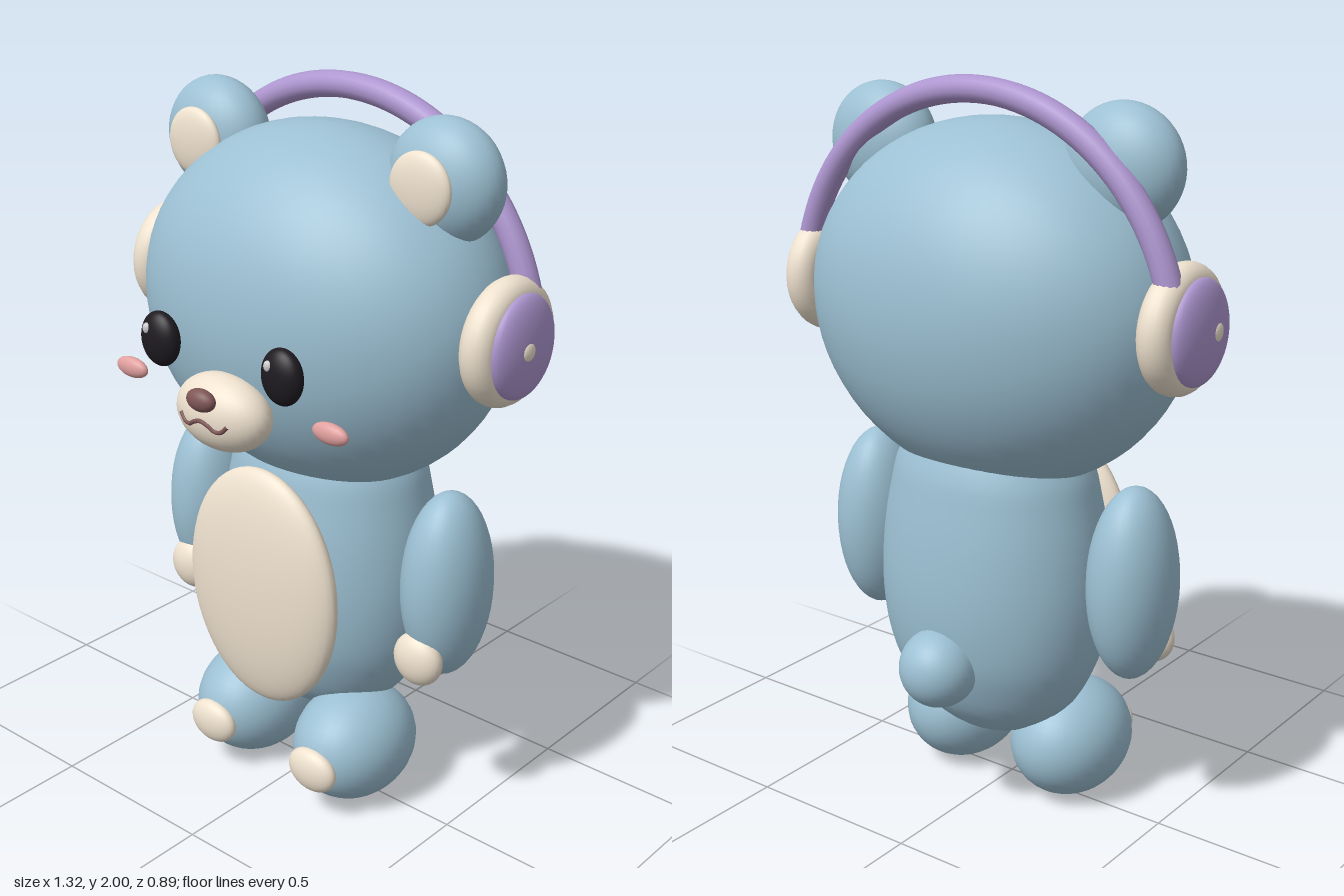
import * as THREE from 'three';

const mat = (color) => new THREE.MeshStandardMaterial({ color });

export function createModel() {
  const bear = new THREE.Group();
  bear.name = 'bear';

  const fur = mat(0x9cc0d3);
  const cream = mat(0xeee1ce);
  const purple = mat(0xae96d0);
  const black = mat(0x1e1a20);
  const pink = mat(0xe0a09e);
  const brown = mat(0x7f5656);
  const white = mat(0xffffff);

  const add = (name, geometry, material) => {
    const mesh = new THREE.Mesh(geometry, material);
    mesh.name = name;
    bear.add(mesh);
    return mesh;
  };

  // Ellipsoid from centre and radii
  const ball = (name, material, [x, y, z], [rx, ry, rz], detail = 32) => {
    const mesh = add(name, new THREE.SphereGeometry(1, detail, Math.round(detail * 0.75)), material);
    mesh.position.set(x, y, z);
    mesh.scale.set(rx, ry, rz);
    return mesh;
  };

  // Mirrored pair of ellipsoids, given for the +x side
  const pair = (name, material, [x, y, z], radii, detail) => {
    ball(name + 'Left', material, [x, y, z], radii, detail);
    ball(name + 'Right', material, [-x, y, z], radii, detail);
  };

  // Lathe flattened front to back
  const flatLathe = (name, points, depth, z) => {
    const mesh = add(name, new THREE.LatheGeometry(points, 48), fur);
    mesh.scale.z = depth;
    mesh.position.z = z;
  };

  // Head: ellipsoid with a slightly deeper lower half
  const headOutline = [];
  for (let i = 0; i <= 36; i++) {
    const a = (i / 36 - 0.5) * Math.PI;
    headOutline.push(new THREE.Vector2(0.557 * Math.cos(a), 1.42 + (a < 0 ? 0.5 : 0.47) * Math.sin(a)));
  }
  flatLathe('head', headOutline, 0.693, -0.055);

  // Body: rounded, full at the bottom
  const profile = new THREE.SplineCurve([
    [0, 0.185], [0.12, 0.215], [0.23, 0.295], [0.293, 0.4], [0.325, 0.5], [0.338, 0.63],
    [0.33, 0.77], [0.307, 0.9], [0.278, 1.0], [0.2, 1.1], [0, 1.15],
  ].map(([x, y]) => new THREE.Vector2(x, y)));
  const bodyOutline = profile.getPoints(36).map((p) => new THREE.Vector2(Math.max(p.x, 0), p.y));
  flatLathe('body', bodyOutline, 0.79, -0.076);

  ball('belly', cream, [0, 0.658, 0.202], [0.261, 0.348, 0.074], 40);
  ball('tail', fur, [0, 0.457, -0.328], [0.108, 0.108, 0.108]);

  // Ears
  pair('ear', fur, [0.383, 1.797, -0.058], [0.164, 0.159, 0.104]);
  pair('innerEar', cream, [0.378, 1.795, 0.04], [0.092, 0.092, 0.028]);

  // Arms and hands
  pair('arm', fur, [0.432, 0.715, -0.053], [0.116, 0.267, 0.14]);
  pair('hand', cream, [0.422, 0.527, 0.052], [0.075, 0.075, 0.045]);

  // Feet and soles
  pair('foot', fur, [0.188, 0.167, 0.029], [0.16, 0.165, 0.195]);
  pair('footPad', cream, [0.19, 0.155, 0.215], [0.081, 0.064, 0.036]);

  // Face
  pair('eye', black, [0.211, 1.362, 0.349], [0.063, 0.074, 0.036]);
  for (const [side, x] of [['Left', 0.189], ['Right', -0.233]]) {
    ball('eyeHighlight' + side, white, [x, 1.392, 0.376], [0.013, 0.015, 0.01], 16);
  }
  pair('cheek', pink, [0.347, 1.244, 0.328], [0.056, 0.028, 0.02], 24);
  ball('muzzle', cream, [0, 1.212, 0.337], [0.149, 0.102, 0.086]);
  ball('nose', brown, [0, 1.267, 0.419], [0.046, 0.03, 0.025], 24);

  // Mouth: two small smiles laid on the muzzle surface
  const mouthPoints = [
    [-0.08, 1.214], [-0.063, 1.196], [-0.045, 1.193], [-0.022, 1.206], [0, 1.212],
    [0.022, 1.206], [0.045, 1.193], [0.063, 1.196], [0.08, 1.214],
  ].map(([x, y]) => {
    const k = 1 - (x / 0.149) ** 2 - ((y - 1.212) / 0.102) ** 2;
    return new THREE.Vector3(x, y, 0.337 + 0.086 * Math.sqrt(k));
  });
  add('mouth', new THREE.TubeGeometry(new THREE.CatmullRomCurve3(mouthPoints), 40, 0.006, 8), brown);

  // Headphones
  const start = 0.09;
  const band = add('headband', new THREE.TorusGeometry(0.598, 0.035, 14, 64, Math.PI - 2 * start), purple);
  band.rotation.z = start;
  band.position.set(0, 1.367, -0.15);
  for (const [side, x] of [['Left', 0.569], ['Right', -0.569]]) {
    const cushion = add('earCushion' + side, new THREE.TorusGeometry(0.12, 0.047, 18, 40), cream);
    cushion.rotation.y = Math.PI / 2;
    cushion.position.set(x, 1.423, -0.077);
  }
  pair('earCup', purple, [0.615, 1.421, -0.074], [0.043, 0.135, 0.127]);
  pair('earCupButton', cream, [0.648, 1.423, -0.05], [0.014, 0.028, 0.028], 20);

  return bear;
}
